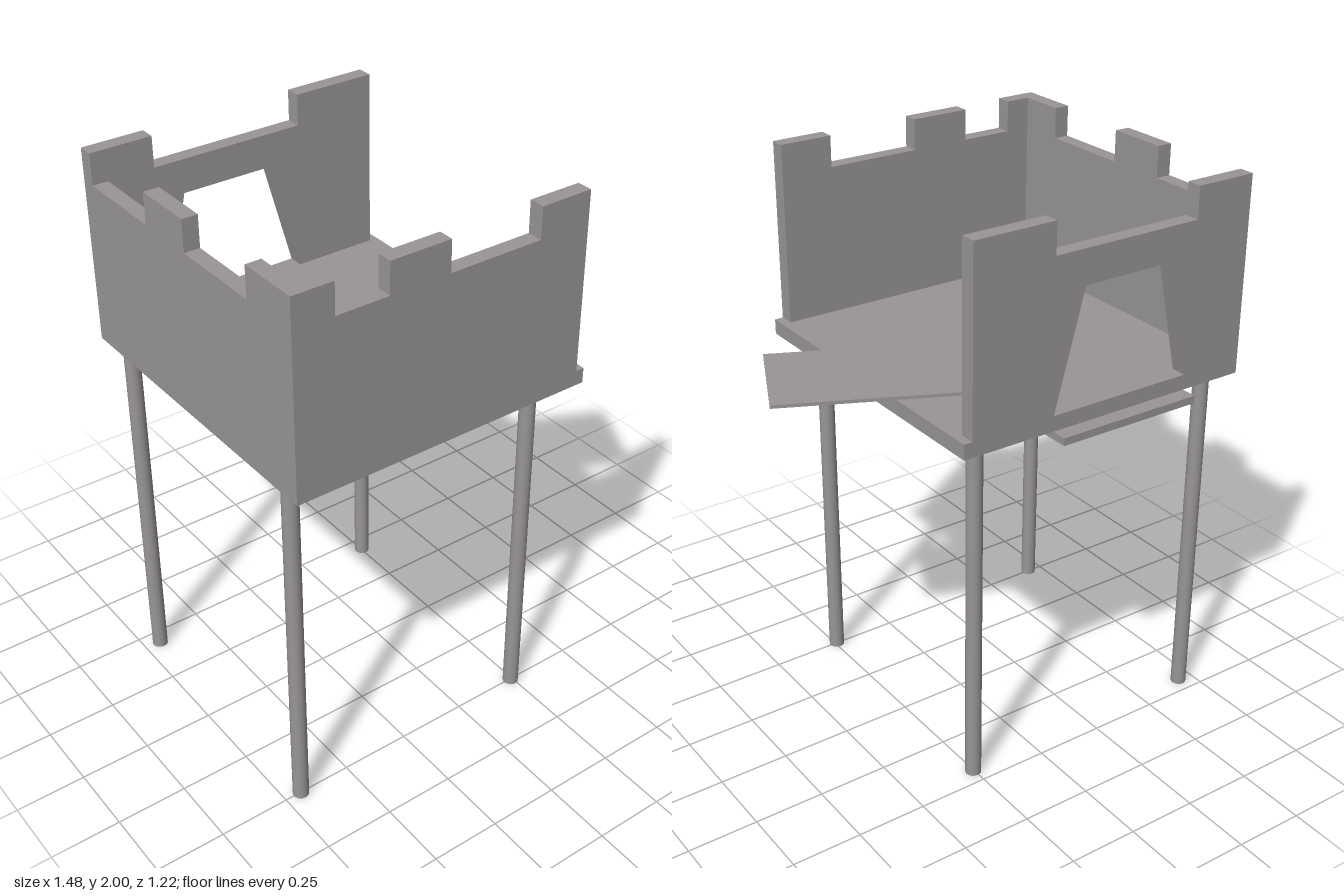
import * as THREE from 'three';

const FLOOR_TOP = 1.36, NOTCH = 1.89, TOP = 2.0, WALL = 0.055;
const COLOR = 0x999595;
const material = new THREE.MeshStandardMaterial({ color: COLOR, flatShading: true });
const smooth = new THREE.MeshStandardMaterial({ color: COLOR });

function add(group, name, geometry, mat = material) {
  const mesh = new THREE.Mesh(geometry, mat);
  mesh.name = name;
  group.add(mesh);
  return mesh;
}

// Box given by its limits on each axis
function box(x0, x1, y0, y1, z0, z1) {
  return new THREE.BoxGeometry(x1 - x0, y1 - y0, z1 - z0)
    .translate((x0 + x1) / 2, (y0 + y1) / 2, (z0 + z1) / 2);
}

// Wall from a to b along the shape's x, with notches cut in the top
// and an optional doorway cut up from the floor
function battlement(a, b, notches, doorway = []) {
  const shape = new THREE.Shape();
  shape.moveTo(a, FLOOR_TOP);
  doorway.forEach(([x, y]) => shape.lineTo(x, y));
  shape.lineTo(b, FLOOR_TOP);
  let end = b;
  for (const [n0, n1] of [...notches].reverse()) {
    if (n1 < end) shape.lineTo(end, TOP).lineTo(n1, TOP);
    shape.lineTo(n1, NOTCH).lineTo(n0, NOTCH);
    end = n0;
  }
  if (end > a) shape.lineTo(end, TOP).lineTo(a, TOP);
  return new THREE.ExtrudeGeometry(shape, { depth: WALL, bevelEnabled: false });
}

export function createModel() {
  const model = new THREE.Group();
  model.name = 'castleTower';

  // Platform and the step under the doorway
  add(model, 'floor', box(-0.738, 0.373, 1.306, FLOOR_TOP, -0.556, 0.612));
  add(model, 'doorStep', box(-0.503, 0.034, 1.279, 1.306, -0.612, -0.5));

  // Walls on three sides
  add(model, 'frontWall', battlement(-0.738, 0.342, [[-0.593, -0.406], [-0.188, 0.152]]))
    .position.z = 0.557;
  const door = [[-0.503, FLOOR_TOP], [-0.413, 1.77], [-0.076, 1.77], [0.034, FLOOR_TOP]];
  add(model, 'backWall', battlement(-0.738, 0.342, [[-0.516, 0.042]], door))
    .position.z = -0.556;
  const side = add(model, 'sideWall', battlement(-0.501, 0.557, [[-0.501, -0.167], [0.055, 0.39]]));
  side.rotation.y = -Math.PI / 2;
  side.position.x = -0.683;

  // Loose plank lying askew over the open edge
  const plank = add(model, 'plank', new THREE.BoxGeometry(0.887, 0.012, 0.396));
  plank.position.set(0.253, 1.371, -0.031);
  plank.rotation.y = -0.446;

  // Round posts
  for (const [x, z] of [[-0.69, 0.501], [0.242, 0.501], [-0.69, -0.442], [0.254, -0.442]]) {
    add(model, 'post', new THREE.CylinderGeometry(0.028, 0.028, 1.306, 20), smooth)
      .position.set(x, 0.653, z);
  }
  return model;
}
